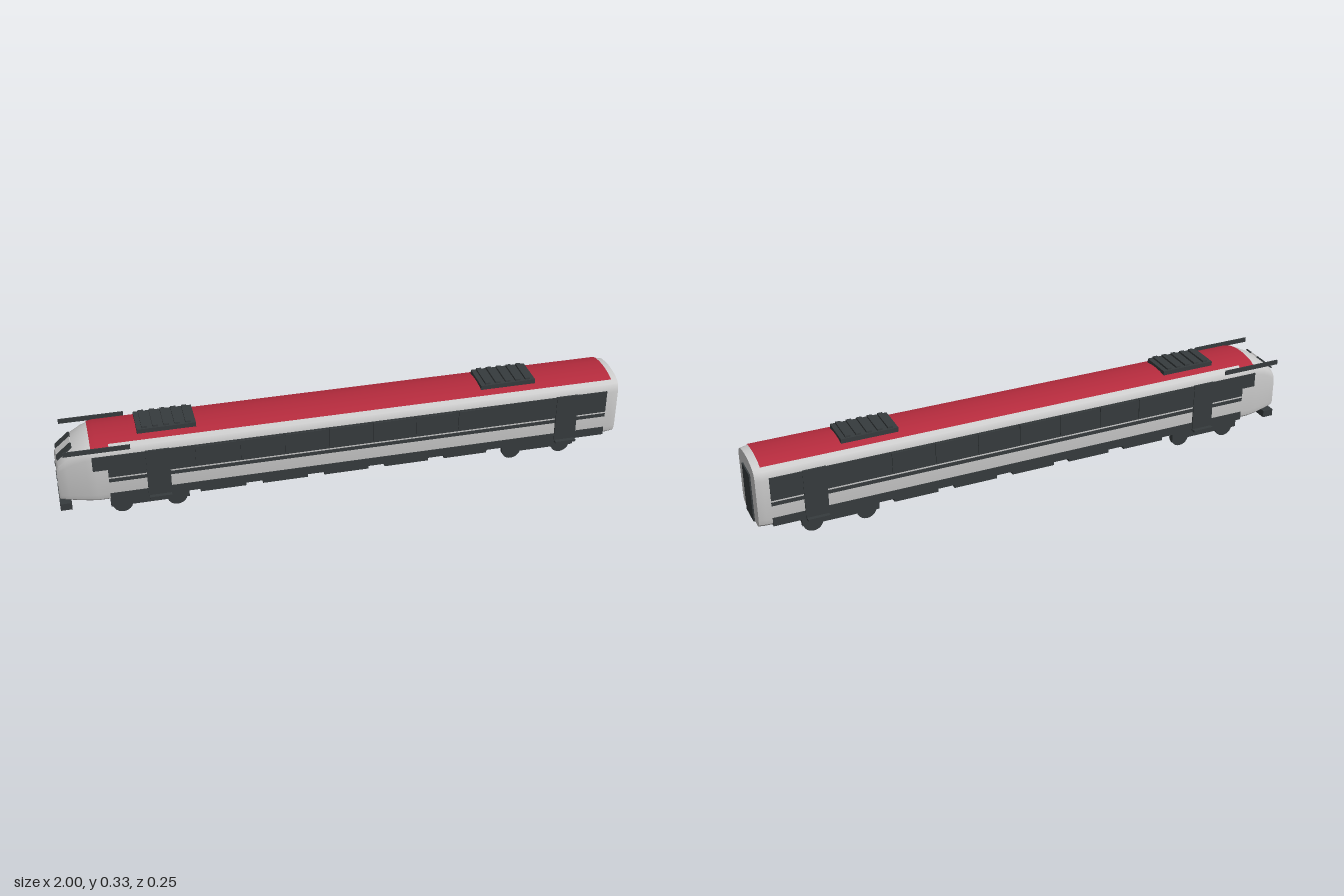
import * as THREE from 'three';
import { toCreasedNormals } from 'three/addons/utils/BufferGeometryUtils.js';

const grey = new THREE.MeshStandardMaterial({ color: 0xcccccc });
const dark = new THREE.MeshStandardMaterial({ color: 0x363b3d });
const red = new THREE.MeshStandardMaterial({ color: 0xb52b3d, side: THREE.DoubleSide });

// Half cross-section of the coach: [share of half-width, share of height]
const HALF = [[0.83, 0], [0.95, 0.05], [1, 0.14], [1, 0.77], [0.98, 0.84], [0.92, 0.895],
  [0.8, 0.935], [0.6, 0.97], [0.3, 0.992], [0, 1]];

// Skin over stations [x, halfWidth, bottom, top], from profile point `first` upwards
function loft(stations, first, closed) {
  const half = HALF.slice(first);
  const ring = [...half, ...half.slice(0, -1).reverse().map(([z, y]) => [-z, y])];
  const n = ring.length, pos = [], idx = [];
  for (const [x, w, bottom, top] of stations)
    for (const [z, y] of ring) pos.push(x, bottom + y * (top - bottom), z * w);
  for (let i = 0; i < stations.length - 1; i++)
    for (let j = 0; j < (closed ? n : n - 1); j++) {
      const k = (j + 1) % n, a = i * n + j, b = i * n + k;
      idx.push(a, a + n, b, b, a + n, b + n);
    }
  if (closed) {
    const e = (stations.length - 1) * n;
    for (let j = 1; j < n - 1; j++) idx.push(0, j, j + 1, e, e + j + 1, e + j);
  }
  const g = new THREE.BufferGeometry();
  g.setAttribute('position', new THREE.Float32BufferAttribute(pos, 3));
  g.setIndex(idx);
  return toCreasedNormals(g, 0.5);
}

export function createModel() {
  const model = new THREE.Group();
  model.name = 'railCar';

  const add = (name, geometry, material, parent = model) => {
    const m = new THREE.Mesh(geometry, material);
    m.name = name;
    parent.add(m);
    return m;
  };
  // Box given by its limits on each axis
  const box = (name, [x0, x1], [y0, y1], [z0, z1], material = dark, parent = model) => {
    const m = add(name, new THREE.BoxGeometry(x1 - x0, y1 - y0, z1 - z0), material, parent);
    m.position.set((x0 + x1) / 2, (y0 + y1) / 2, (z0 + z1) / 2);
    return m;
  };
  // The same box on both long sides
  const pair = (name, xs, ys, [z0, z1], material = dark, parent = model) => {
    box(name + 'Front', xs, ys, [z0, z1], material, parent);
    box(name + 'Back', xs, ys, [-z1, -z0], material, parent);
  };

  // Body shell with sloping nose and bevelled rear end
  add('body', loft([
    [-0.998, 0.062, 0.08, 0.215], [-0.99, 0.068, 0.08, 0.232], [-0.965, 0.078, 0.079, 0.258],
    [-0.935, 0.088, 0.078, 0.279], [-0.9, 0.099, 0.077, 0.296], [-0.87, 0.106, 0.077, 0.305],
    [0.97, 0.106, 0.077, 0.305], [0.995, 0.1, 0.077, 0.303],
  ], 0, true), grey);

  // Roof covering, wider behind the cab
  add('roof', loft([[-0.88, 0.104, 0.08, 0.305], [-0.86, 0.106, 0.08, 0.309],
    [0.97, 0.106, 0.08, 0.309]], 6, false), red);
  add('roofShoulder', loft([[-0.88, 0.105, 0.079, 0.304], [-0.86, 0.108, 0.079, 0.308],
    [-0.82, 0.108, 0.079, 0.308]], 5, false), red);

  // Roof units with slats
  for (const x of [-0.62, 0.59]) {
    const unit = new THREE.Group();
    unit.name = 'roofUnit';
    model.add(unit);
    box('unitCase', [x - 0.1, x + 0.1], [0.3, 0.319], [-0.059, 0.059], dark, unit);
    for (let i = -2; i <= 2; i++) {
      const c = x + i * 0.037;
      box('slat', [c - 0.009, c + 0.009], [0.318, 0.326], [-0.054, 0.054], dark, unit);
    }
  }

  // Side bands, windows, doors and steps
  pair('windowBand', [-0.88, 0.95], [0.207, 0.26], [0.098, 0.1085]);
  pair('windowBandLower', [-0.83, 0.95], [0.176, 0.207], [0.098, 0.1085]);
  pair('thinStripe', [-0.83, 0.95], [0.156, 0.169], [0.1, 0.108]);
  pair('skirtStripe', [-0.83, 0.95], [0.08, 0.111], [0.092, 0.108]);
  for (let i = -3; i <= 3; i++)
    pair('window', [i * 0.155 - 0.07, i * 0.155 + 0.07], [0.184, 0.257], [0.1, 0.113]);
  for (const x of [-0.662, 0.8]) {
    pair('door', [x - 0.04, x + 0.04], [0.08, 0.262], [0.098, 0.111]);
    pair('step', [x - 0.038, x + 0.038], [0.077, 0.085], [0.1, 0.125]);
  }

  // Rear gangway door
  box('gangwayDoor', [0.985, 1], [0.075, 0.252], [-0.044, 0.044]);

  // Cab: side rails, windscreen, lamps and buffer bar
  pair('cabRail', [-0.972, -0.75], [0.279, 0.296], [0.106, 0.11]);
  const slope = Math.atan2(0.047, 0.055);
  const pane = (name, z, depth, material) => {
    const m = add(name, new THREE.BoxGeometry(0.066, 0.006, depth), material);
    m.position.set(-0.966, 0.256, z);
    m.rotation.z = slope;
  };
  pane('windscreenCentre', 0, 0.035, grey);
  for (const s of [-1, 1]) pane('windscreenSide', s * 0.035, 0.03, dark);
  for (const y of [0.12, 0.16]) pair('lamp', [-1, -0.985], [y - 0.006, y + 0.006], [0.04, 0.055]);
  box('bufferBar', [-1, -0.96], [0.04, 0.066], [-0.068, 0.068]);
  box('bufferArm', [-0.97, -0.82], [0.055, 0.079], [-0.02, 0.02]);

  // Underframe and equipment boxes
  box('underframe', [-0.83, 0.84], [0.058, 0.08], [-0.075, 0.075]);
  for (let i = -2; i <= 2; i++)
    box('equipmentBox', [i * 0.22 - 0.08, i * 0.22 + 0.08], [0.043, 0.06], [-0.07, 0.07]);

  // Bogies with two wheelsets each
  const wheelGeo = new THREE.CylinderGeometry(0.035, 0.035, 0.018, 24).rotateX(Math.PI / 2);
  const axleGeo = new THREE.CylinderGeometry(0.008, 0.008, 0.13, 12).rotateX(Math.PI / 2);
  for (const x of [-0.695, 0.712]) {
    const bogie = new THREE.Group();
    bogie.name = 'bogie';
    model.add(bogie);
    pair('sideFrame', [x - 0.135, x + 0.135], [0.036, 0.067], [0.064, 0.078], dark, bogie);
    box('bolster', [x - 0.135, x + 0.135], [0.046, 0.066], [-0.066, 0.066], dark, bogie);
    for (const dx of [-0.094, 0.094]) {
      add('axle', axleGeo, dark, bogie).position.set(x + dx, 0.035, 0);
      for (const s of [-1, 1])
        add('wheel', wheelGeo, dark, bogie).position.set(x + dx, 0.035, s * 0.054);
    }
  }
  return model;
}
